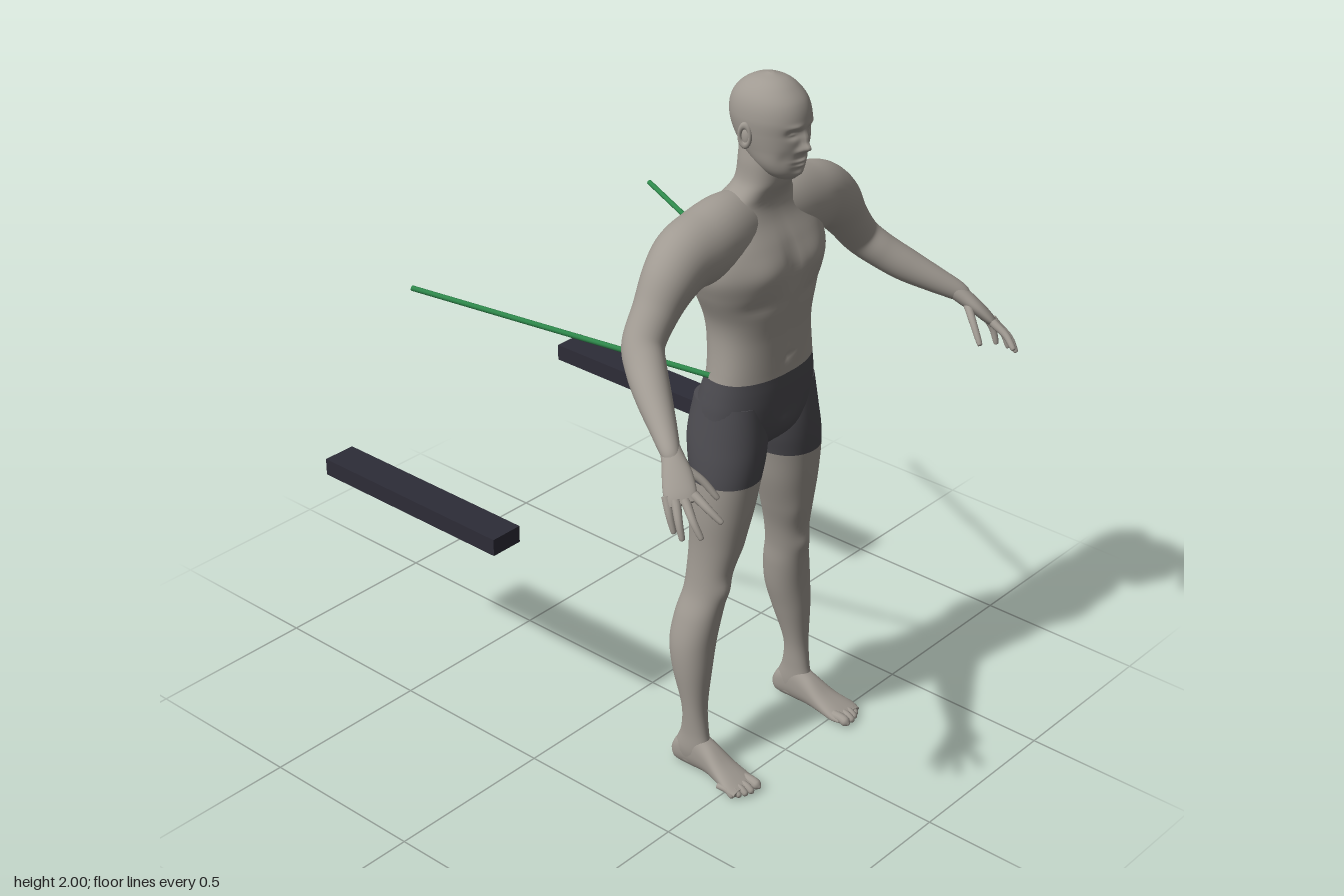
import * as THREE from 'three';

const mat = (name, color) => Object.assign(new THREE.MeshStandardMaterial({ color }), { name });

// Smooth interpolation of table rows by their first column
function sample(rows, t) {
  const n = rows.length;
  let i = 0;
  while (i < n - 2 && t > rows[i + 1][0]) i++;
  const a = rows[i], b = rows[i + 1], p = rows[Math.max(i - 1, 0)], q = rows[Math.min(i + 2, n - 1)];
  const h = b[0] - a[0], s = (t - a[0]) / h, s2 = s * s, s3 = s2 * s;
  return a.map((v, k) => {
    const ma = (b[k] - p[k]) / (b[0] - p[0]), mb = (q[k] - v) / (q[0] - a[0]);
    return (2 * s3 - 3 * s2 + 1) * v + (s3 - 2 * s2 + s) * h * ma + (3 * s2 - 2 * s3) * b[k] + (s3 - s2) * h * mb;
  });
}

// Surface through closed rings of points, with flat caps
function skin(rings) {
  const pos = [], idx = [], m = rings[0].length;
  const add = (p) => pos.push(p.x, p.y, p.z);
  rings.forEach((r) => r.forEach(add));
  for (let i = 0; i < rings.length - 1; i++) for (let j = 0; j < m; j++) {
    const a = i * m + j, b = i * m + (j + 1) % m;
    idx.push(a, a + m, b, b, a + m, b + m);
  }
  [rings[0], rings[rings.length - 1]].forEach((r, end) => {
    const base = pos.length / 3;
    r.forEach(add);
    add(r.reduce((s, p) => s.add(p), new THREE.Vector3()).divideScalar(m));
    for (let j = 0; j < m; j++) {
      const a = base + j, b = base + (j + 1) % m;
      idx.push(base + m, end ? b : a, end ? a : b);
    }
  });
  const g = new THREE.BufferGeometry();
  g.setAttribute('position', new THREE.Float32BufferAttribute(pos, 3));
  g.setIndex(idx);
  g.computeVertexNormals();
  return g;
}

// Loft of rows [t, u0, u1, v0, v1]; bumps are [side, u, t, su, st, push], mirrored when u > 0
function loft(rows, t0, t1, { steps = 48, seg = 48, bumps = [], power = 0.88, along = 'y' } = {}) {
  const rings = [];
  for (let i = 0; i <= steps; i++) {
    const t = t0 + (t1 - t0) * i / steps, [, u0, u1, v0, v1] = sample(rows, t), ring = [];
    for (let j = 0; j < seg; j++) {
      const c = Math.cos(j / seg * Math.PI * 2), s = Math.sin(j / seg * Math.PI * 2);
      const u = (u0 + u1) / 2 + (u1 - u0) / 2 * Math.sign(c) * Math.abs(c) ** power;
      let v = (v0 + v1) / 2 + (v1 - v0) / 2 * Math.sign(s) * Math.abs(s) ** power;
      for (const [side, bu, bt, su, st, push] of bumps) {
        const du = (bu > 0 ? Math.abs(u) : u) - bu;
        v += Math.max(0, side * s) * push * Math.exp(-((du / su) ** 2) - ((t - bt) / st) ** 2);
      }
      ring.push(along === 'y' ? new THREE.Vector3(u, t, v) : new THREE.Vector3(u, v, t));
    }
    rings.push(ring);
  }
  return skin(rings);
}

// Sweep of rows [x, y, z, thickness, width]; width lies along ref
function sweep(points, ref = [0, 0, 1], steps = 40, seg = 28) {
  const rows = points.map((p, i) => [i, ...p]), end = rows.length - 1, rings = [];
  const at = (t) => new THREE.Vector3(...sample(rows, t).slice(1, 4));
  for (let i = 0; i <= steps; i++) {
    const t = end * i / steps, [, , , , rn, rb] = sample(rows, t);
    const T = at(Math.min(t + 0.02, end)).sub(at(Math.max(t - 0.02, 0))).normalize();
    const B = new THREE.Vector3(...ref);
    B.addScaledVector(T, -B.dot(T)).normalize();
    const N = T.clone().cross(B);
    rings.push(Array.from({ length: seg }, (_, j) => {
      const a = j / seg * Math.PI * 2;
      return at(t).addScaledVector(N, rn * Math.cos(a)).addScaledVector(B, rb * Math.sin(a));
    }));
  }
  return skin(rings);
}

// Rounded finger or toe through points
function digit(pts, r0, r1) {
  const n = pts.length - 1;
  const rows = pts.map((p, i) => { const r = r0 + (r1 - r0) * i / n; return [...p, r, r]; });
  const tip = new THREE.Vector3(...pts[n]);
  const dir = tip.clone().sub(new THREE.Vector3(...pts[n - 1])).normalize().multiplyScalar(r1 * 0.8).add(tip);
  rows.push([dir.x, dir.y, dir.z, r1 * 0.3, r1 * 0.3]);
  return sweep(rows, [0.3, 1, 0.2], 14, 12);
}

function mirrored(geo) {
  const g = geo.clone().scale(-1, 1, 1), a = g.index.array;
  for (let i = 0; i < a.length; i += 3) [a[i], a[i + 1]] = [a[i + 1], a[i]];
  return g;
}

export function createModel() {
  const body = mat('skin', 0xa09a92), cloth = mat('shorts', 0x4c4b50);
  const dark = mat('darkBar', 0x2d2c37), green = mat('greenRod', 0x2f8a4c);
  const model = new THREE.Group();
  const put = (name, geo, m) => {
    const mesh = new THREE.Mesh(geo, m);
    mesh.name = name;
    model.add(mesh);
  };
  const pair = (name, geo, m) => {
    put('left' + name, geo, m);
    put('right' + name, mirrored(geo), m);
  };
  const symmetric = (rows) => rows.map(([y, w, b, f]) => [y, -w, w, b, f]);

  // Torso, pelvis and neck
  const trunk = symmetric([
    [0.965, 0.07, 0.3, 0.42], [1, 0.16, 0.26, 0.455], [1.05, 0.19, 0.246, 0.473], [1.1, 0.19, 0.25, 0.478],
    [1.15, 0.182, 0.262, 0.478], [1.2, 0.173, 0.276, 0.475], [1.3, 0.164, 0.268, 0.475], [1.36, 0.172, 0.258, 0.48],
    [1.44, 0.205, 0.245, 0.485], [1.5, 0.222, 0.243, 0.482], [1.56, 0.21, 0.246, 0.462], [1.62, 0.165, 0.256, 0.43],
    [1.66, 0.125, 0.275, 0.42], [1.69, 0.094, 0.296, 0.43], [1.72, 0.076, 0.309, 0.445], [1.78, 0.07, 0.315, 0.45],
    [1.84, 0.06, 0.315, 0.44]]);
  const trunkBumps = [
    [1, 0.1, 1.5, 0.07, 0.05, 0.013], [1, 0, 1.5, 0.015, 0.07, -0.007], [1, 0, 1.32, 0.012, 0.08, -0.006],
    [1, 0, 1.235, 0.009, 0.009, -0.008], [1, 0.11, 1.41, 0.06, 0.02, -0.006], [1, 0, 1.04, 0.04, 0.035, 0.012],
    [-1, 0, 1.42, 0.022, 0.16, 0.016], [-1, 0.11, 1.54, 0.05, 0.07, -0.01], [-1, 0.05, 1.28, 0.03, 0.08, -0.006],
    [-1, 0, 1.03, 0.014, 0.07, 0.03], [-1, 0.09, 1.04, 0.06, 0.05, -0.012]];
  put('torso', loft(trunk, 1.19, 1.84, { steps: 70, seg: 72, bumps: trunkBumps }), body);
  put('shortsTop', loft(trunk, 0.965, 1.19, { steps: 30, seg: 72, bumps: trunkBumps }), cloth);

  // Head with sculpted face
  const head = symmetric([
    [1.737, 0.028, 0.4, 0.475], [1.752, 0.05, 0.385, 0.487], [1.78, 0.068, 0.355, 0.494], [1.82, 0.078, 0.315, 0.5],
    [1.86, 0.085, 0.291, 0.504], [1.9, 0.088, 0.282, 0.506], [1.94, 0.081, 0.29, 0.494], [1.97, 0.063, 0.314, 0.468],
    [1.99, 0.037, 0.348, 0.438], [2, 0.006, 0.385, 0.402]]);
  put('head', loft(head, 1.737, 2, { steps: 100, seg: 96, power: 0.95, bumps: [
    [1, 0, 1.828, 0.012, 0.013, 0.022], [1, 0, 1.852, 0.009, 0.02, 0.013], [1, 0.018, 1.822, 0.008, 0.008, 0.006],
    [1, 0.033, 1.868, 0.016, 0.011, -0.013], [1, 0.033, 1.867, 0.01, 0.005, 0.006], [1, 0.03, 1.888, 0.02, 0.007, 0.004],
    [1, 0, 1.792, 0.022, 0.005, 0.008], [1, 0, 1.779, 0.018, 0.005, 0.008], [1, 0, 1.756, 0.02, 0.01, 0.007],
    [1, 0.05, 1.8, 0.015, 0.02, -0.005]] }), body);
  const ear = new THREE.TorusGeometry(0.018, 0.007, 10, 24);
  ear.scale(0.8, 1.45, 1).rotateY(Math.PI / 2 - 0.3).translate(0.089, 1.855, 0.385);
  pair('Ear', ear, body);
  const lobe = new THREE.SphereGeometry(0.018, 16, 12);
  lobe.scale(0.45, 1.35, 0.8).translate(0.086, 1.852, 0.387);
  pair('InnerEar', lobe, body);

  // Arms from collarbone to wrist
  pair('Arm', sweep([
    [0.03, 1.585, 0.345, 0.1, 0.075], [0.12, 1.587, 0.345, 0.107, 0.088], [0.2, 1.58, 0.345, 0.1, 0.09],
    [0.27, 1.568, 0.345, 0.093, 0.083], [0.33, 1.532, 0.35, 0.079, 0.073], [0.385, 1.468, 0.352, 0.061, 0.061],
    [0.44, 1.4, 0.36, 0.053, 0.056], [0.475, 1.357, 0.4, 0.049, 0.053], [0.515, 1.315, 0.46, 0.046, 0.046],
    [0.56, 1.275, 0.53, 0.036, 0.035], [0.595, 1.245, 0.583, 0.027, 0.026], [0.605, 1.23, 0.603, 0.02, 0.02]],
  [0, 0, 1], 80, 36), body);

  // Hands
  pair('Palm', sweep([
    [0.582, 1.256, 0.565, 0.022, 0.024], [0.6, 1.232, 0.597, 0.023, 0.029], [0.62, 1.203, 0.629, 0.02, 0.038],
    [0.64, 1.172, 0.656, 0.016, 0.041], [0.65, 1.152, 0.674, 0.01, 0.034]], [-0.6, 0.1, 0.75], 24), body);
  [
    [[0.663, 1.165, 0.632], [0.674, 1.125, 0.652], [0.675, 1.085, 0.666]],
    [[0.658, 1.162, 0.658], [0.678, 1.12, 0.685], [0.683, 1.082, 0.7]],
    [[0.643, 1.162, 0.675], [0.66, 1.125, 0.715], [0.66, 1.09, 0.74]],
    [[0.622, 1.172, 0.685], [0.622, 1.148, 0.73], [0.613, 1.122, 0.762]],
    [[0.6, 1.222, 0.61], [0.567, 1.18, 0.66], [0.55, 1.138, 0.695]],
  ].forEach((pts, i) => pair(i < 4 ? 'Finger' + (i + 1) : 'Thumb', digit(pts, 0.0125, 0.0075), body));

  // Legs, split at the hem of the shorts
  const leg = [
    [0.02, 0.197, 0.248, 0.287, 0.4], [0.06, 0.192, 0.255, 0.29, 0.41], [0.12, 0.193, 0.253, 0.312, 0.398],
    [0.2, 0.188, 0.257, 0.316, 0.389], [0.32, 0.161, 0.268, 0.28, 0.392], [0.4, 0.142, 0.266, 0.264, 0.394],
    [0.48, 0.13, 0.248, 0.268, 0.402], [0.55, 0.124, 0.225, 0.281, 0.412], [0.62, 0.11, 0.216, 0.284, 0.421],
    [0.7, 0.085, 0.214, 0.283, 0.438], [0.8, 0.055, 0.219, 0.277, 0.456], [0.9, 0.034, 0.219, 0.274, 0.468],
    [0.96, 0.018, 0.214, 0.258, 0.472], [1.02, 0.01, 0.204, 0.248, 0.47], [1.12, 0.02, 0.185, 0.262, 0.46]];
  const legBumps = [[1, 0.172, 0.57, 0.03, 0.03, 0.008], [1, 0.1, 0.68, 0.03, 0.05, 0.005]];
  pair('Leg', loft(leg, 0.02, 0.9, { steps: 80, bumps: legBumps, power: 0.95 }), body);
  pair('ShortsLeg', loft(leg, 0.9, 1.12, { steps: 24, power: 0.95 }), cloth);

  // Feet and toes
  const foot = [
    [0.28, 0.21, 0.235, 0.018, 0.045], [0.295, 0.198, 0.248, 0.003, 0.075], [0.35, 0.192, 0.253, 0, 0.12],
    [0.41, 0.188, 0.256, 0.004, 0.098], [0.47, 0.182, 0.27, 0.004, 0.06], [0.52, 0.179, 0.284, 0.002, 0.036],
    [0.545, 0.184, 0.28, 0.006, 0.025]];
  pair('Foot', loft(foot, 0.545, 0.28, { steps: 36, along: 'z', power: 0.85 }), body);
  [[0.199, 0.57, 0.015], [0.225, 0.568, 0.0105], [0.244, 0.562, 0.01], [0.261, 0.553, 0.0095], [0.276, 0.54, 0.009]]
    .forEach(([x, z, r], i) => pair('Toe' + (i + 1),
      digit([[x, 0.021, z - 0.055], [x, 0.021, z - 0.025], [x, r + 0.001, z - r * 0.6]], r, r * 0.9), body));

  // Floating side bars
  const bar = new THREE.BoxGeometry(0.1, 0.05, 0.67);
  bar.translate(0.48, 0.66, -0.438);
  pair('Bar', bar, dark);

  // Slanted rods behind the waist
  const rodPath = new THREE.LineCurve3(new THREE.Vector3(0.19, 1.215, 0.365), new THREE.Vector3(0.477, 1.313, -0.436));
  pair('Rod', new THREE.TubeGeometry(rodPath, 1, 0.0075, 10), green);
  return model;
}
